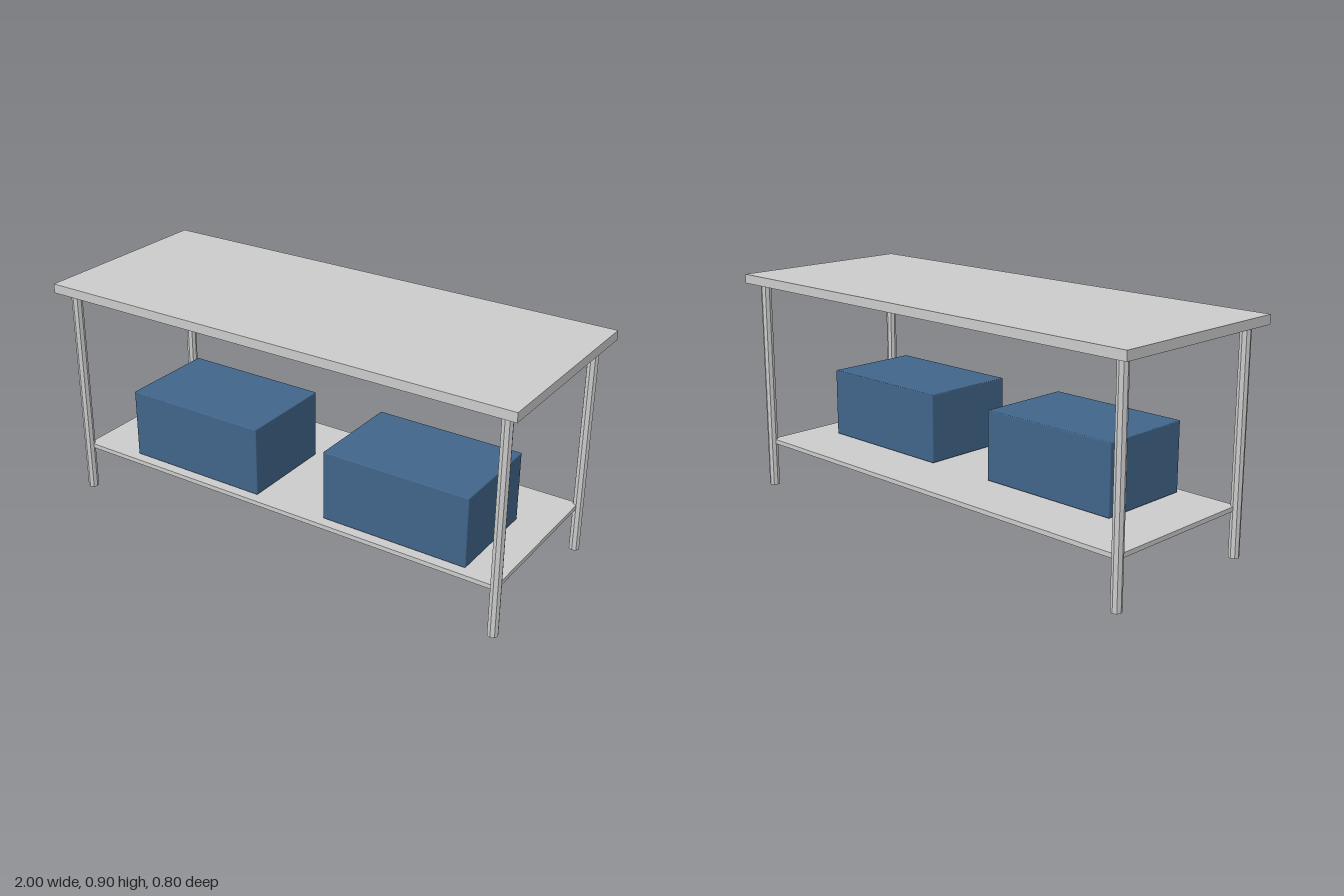
import * as THREE from 'three';
import { RoundedBoxGeometry } from 'three/addons/geometries/RoundedBoxGeometry.js';

export function createModel() {
  const model = new THREE.Group();
  model.name = 'workTable';
  const grey = new THREE.MeshStandardMaterial({ color: 0xcccccc });
  const legGrey = new THREE.MeshStandardMaterial({ color: 0xcccccc, flatShading: true });
  const blue = new THREE.MeshStandardMaterial({ color: 0x41658a });

  const add = (name, geometry, material, x, y, z) => {
    const mesh = new THREE.Mesh(geometry, material);
    mesh.name = name;
    mesh.position.set(x, y, z);
    model.add(mesh);
  };

  // Worktop
  const topY = 0.905, topThick = 0.037;
  add('tableTop', new THREE.BoxGeometry(2, topThick, 0.795), grey, 0, topY - topThick / 2, 0);

  // Lower shelf, its corners meeting the leg centres
  const legX = 0.94, legZ = 0.339, shelfY = 0.2, shelfThick = 0.018;
  add('shelf', new THREE.BoxGeometry(legX * 2, shelfThick, legZ * 2), grey, 0, shelfY - shelfThick / 2, 0);

  // Four legs
  const legHeight = topY - topThick;
  const legGeometry = new THREE.CylinderGeometry(0.021, 0.021, legHeight, 8);
  for (const [sx, side] of [[1, 'Left'], [-1, 'Right']]) {
    for (const [sz, end] of [[1, 'front'], [-1, 'back']]) {
      add(`${end}${side}Leg`, legGeometry, legGrey, sx * legX, legHeight / 2, sz * legZ);
    }
  }

  // Two storage boxes with slightly softened edges
  const boxHeight = 0.28;
  const boxGeometry = new RoundedBoxGeometry(0.6, boxHeight, 0.4, 2, 0.004);
  for (const [name, x] of [['leftStorageBox', 0.5], ['rightStorageBox', -0.405]]) {
    add(name, boxGeometry, blue, x, shelfY + 0.002 + boxHeight / 2, 0.101);
  }
  return model;
}
